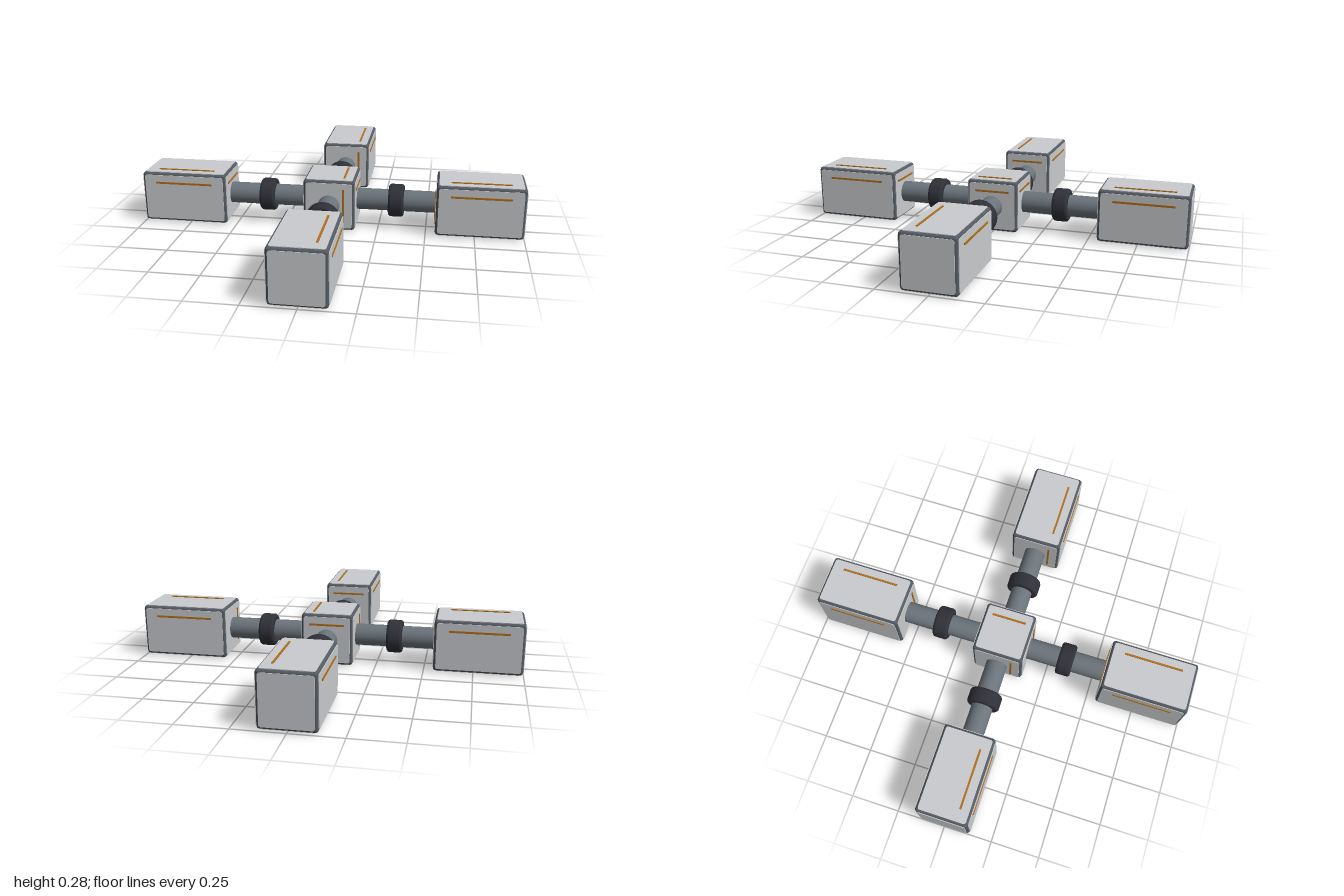
import * as THREE from 'three';
import { RoundedBoxGeometry } from 'three/addons/geometries/RoundedBoxGeometry.js';

const mat = (name, color) => new THREE.MeshStandardMaterial({ name, color });
const CY = 0.14;      // height of the shared centre line
const HALF = 0.136;   // half width of every block, panels included
const PLATE = 0.008;  // panel thickness

export function createModel() {
  const frameGrey = mat('frameGrey', 0x535a61);
  const panelGrey = mat('panelGrey', 0xc9cbce);
  const pipeGrey = mat('pipeGrey', 0x6b747b);
  const collarBlack = mat('collarBlack', 0x303138);
  const accentOrange = mat('accentOrange', 0xb0701f);

  const model = new THREE.Group();
  model.name = 'modularStation';

  const add = (parent, name, geometry, material) => {
    const mesh = new THREE.Mesh(geometry, material);
    mesh.name = name;
    parent.add(mesh);
    return mesh;
  };

  // Rounded rectangular plate, facing +z, back at z = 0
  const plate = (w, h) => {
    const r = 0.012, x = w / 2, y = h / 2;
    const s = new THREE.Shape();
    s.moveTo(-x + r, -y);
    s.lineTo(x - r, -y).absarc(x - r, -y + r, r, -Math.PI / 2, 0);
    s.lineTo(x, y - r).absarc(x - r, y - r, r, 0, Math.PI / 2);
    s.lineTo(-x + r, y).absarc(-x + r, y - r, r, Math.PI / 2, Math.PI);
    s.lineTo(-x, -y + r).absarc(-x + r, -y + r, r, Math.PI, Math.PI * 1.5);
    return new THREE.ExtrudeGeometry(s, { depth: PLATE, bevelEnabled: false, curveSegments: 4 });
  };

  // Thin accent strip: face axis and side, axis it runs along, offset on the third axis
  const addStripe = (block, half, [axis, side, run, offset]) => {
    const across = ['x', 'y', 'z'].find((a) => a !== axis && a !== run);
    const size = { [axis]: 0.007, [run]: half[run] * 4 / 3, [across]: 0.01 };
    const m = add(block, 'accentStripe', new THREE.BoxGeometry(size.x, size.y, size.z), accentOrange);
    m.position[axis] = side * (half[axis] + 0.0005);
    m.position[across] = offset;
  };

  // Block: rounded core frame, six raised panels and its stripes
  const addBlock = (name, half, position, stripes) => {
    const block = new THREE.Group();
    block.name = name;
    block.position.copy(position);
    model.add(block);
    const t = 0.003;
    add(block, 'frame', new RoundedBoxGeometry(
      2 * (half.x - t), 2 * (half.y - t), 2 * (half.z - t), 3, 0.014), frameGrey);
    const faces = [
      ['z', 1, 'x', 'y', 0, 0], ['z', -1, 'x', 'y', 0, Math.PI],
      ['x', 1, 'z', 'y', 0, Math.PI / 2], ['x', -1, 'z', 'y', 0, -Math.PI / 2],
      ['y', 1, 'x', 'z', -Math.PI / 2, 0], ['y', -1, 'x', 'z', Math.PI / 2, 0],
    ];
    for (const [axis, side, u, v, rx, ry] of faces) {
      const inset = 0.015;
      const p = add(block, 'panel', plate(2 * (half[u] - inset), 2 * (half[v] - inset)), panelGrey);
      p.rotation.set(rx, ry, 0);
      p.position[axis] = side * (half[axis] - PLATE);
    }
    stripes.forEach((s) => addStripe(block, half, s));
  };

  // Strips on faces that look along the arms
  const endStripes = {
    x1: ['x', 1, 'z', 0.08], 'x-1': ['x', -1, 'y', 0.075],
    z1: ['z', 1, 'y', 0.075], 'z-1': ['z', -1, 'x', 0.08],
  };

  // Central hub
  addBlock('hub', new THREE.Vector3(HALF, HALF, HALF), new THREE.Vector3(0, CY, 0),
    [['y', 1, 'z', 0.075], ...Object.values(endStripes)]);

  // Collar profile with stepped, bevelled shoulders
  const collarProfile = [
    [0.05, -0.04], [0.076, -0.04], [0.082, -0.036], [0.086, -0.028], [0.086, 0.028],
    [0.082, 0.036], [0.076, 0.04], [0.05, 0.04],
  ].map(([r, y]) => new THREE.Vector2(r, y));
  // Separate faceted segments keep the shoulders crisp
  const collarParts = collarProfile.slice(1).map((p, i) =>
    new THREE.LatheGeometry([collarProfile[i], p], 32));

  // Four arms: outer pod, connecting pipe and collar
  const names = { x1: 'left', 'x-1': 'right', z1: 'front', 'z-1': 'back' };
  for (const axis of ['x', 'z']) {
    const other = axis === 'x' ? 'z' : 'x';
    for (const side of [1, -1]) {
      const label = names[axis + side];
      const half = new THREE.Vector3(HALF, HALF, HALF);
      half[axis] = 0.227;
      const position = new THREE.Vector3(0, CY, 0);
      position[axis] = side * 0.773;
      addBlock(label + 'Pod', half, position, [
        ['y', 1, axis, 0.075],
        ['y', -1, axis, axis === 'x' ? -0.075 : 0.075],
        [other, 1, axis, 0.08],
        [other, -1, axis, 0.08],
        endStripes[axis + -side],
      ]);

      const arm = new THREE.Group();
      arm.name = label + 'Arm';
      arm.position.y = CY;
      if (axis === 'x') arm.rotation.z = -side * Math.PI / 2;
      else arm.rotation.x = side * Math.PI / 2;
      model.add(arm);
      add(arm, 'pipe', new THREE.CylinderGeometry(0.056, 0.056, 0.43, 32), pipeGrey).position.y = 0.34;
      const collar = new THREE.Group();
      collar.name = 'collar';
      collar.position.y = 0.341;
      arm.add(collar);
      collarParts.forEach((g) => add(collar, 'collarBand', g, collarBlack));
    }
  }
  return model;
}
